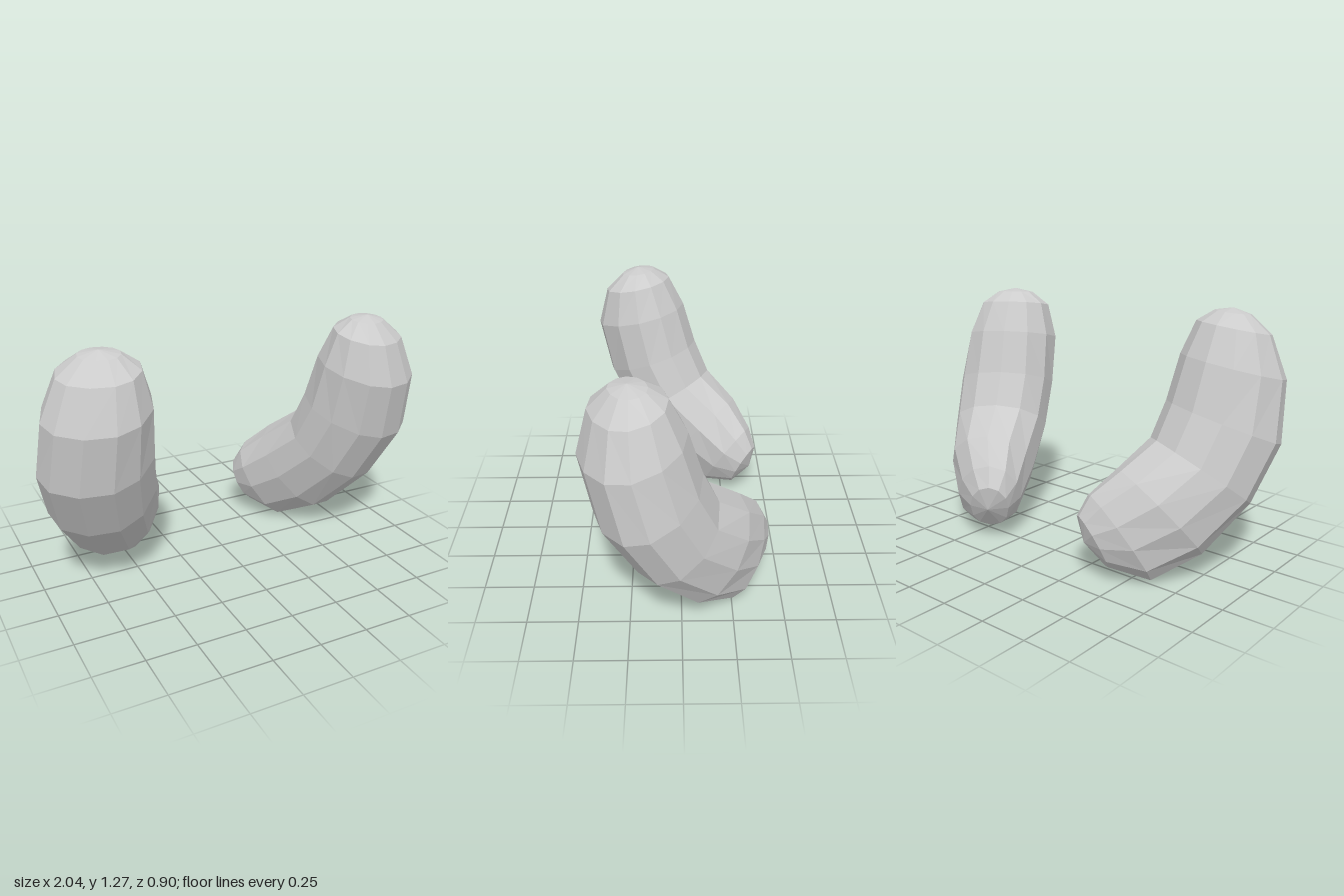
import * as THREE from 'three';

const SIDES = 12;

// Each pod bends in a vertical plane: U runs along the bend, W across it (x, z parts).
const U = [0.5, 0.866];
const W = [0.866, -0.5];

// Rings from top to bottom: outer bend [u, y], inner bend [u, y],
// sideways offset at the outer and inner bend, half width.
const RINGS = [
  { out: [0.63, 1.245], inn: [0.47, 1.263], w: [0.505, 0.505], half: 0.10 },
  { out: [0.72, 1.15], inn: [0.39, 1.215], w: [0.515, 0.505], half: 0.195 },
  { out: [0.785, 0.94], inn: [0.31, 1.06], w: [0.54, 0.515], half: 0.255 },
  { out: [0.74, 0.64], inn: [0.24, 0.84], w: [0.59, 0.52], half: 0.272 },
  { out: [0.58, 0.36], inn: [0.16, 0.67], w: [0.6, 0.53], half: 0.265 },
  { out: [0.345, 0.12], inn: [-0.02, 0.54], w: [0.59, 0.53], half: 0.235 },
  { out: [0.1, 0], inn: [-0.155, 0.42], w: [0.57, 0.485], half: 0.175 },
  { out: [-0.09, 0.065], inn: [-0.21, 0.32], w: [0.51, 0.475], half: 0.105 },
];
const TOP = [0.555, 1.275, 0.505];
const BOTTOM = [-0.19, 0.19, 0.49];

function podGeometry(side) {
  const positions = [];
  const index = [];
  const add = (u, y, w) =>
    positions.push(side * (u * U[0] + w * W[0]), y, u * U[1] + w * W[1]);
  // The mirrored pod needs its corners in reverse order
  const face = (a, b, c) => (side > 0 ? index.push(a, b, c) : index.push(a, c, b));

  for (const { out, inn, w, half } of RINGS) {
    for (let j = 0; j < SIDES; j++) {
      const a = (j / SIDES) * Math.PI * 2;
      // The outer half of each ring is squarer than the inner half
      const power = Math.cos(a) > 0 ? 0.88 : 1;
      const bulge = (v) => Math.sign(v) * Math.abs(v) ** power;
      const t = (1 - bulge(Math.cos(a))) / 2;
      add(
        THREE.MathUtils.lerp(out[0], inn[0], t),
        THREE.MathUtils.lerp(out[1], inn[1], t),
        THREE.MathUtils.lerp(w[0], w[1], t) + half * bulge(Math.sin(a))
      );
    }
  }
  const top = RINGS.length * SIDES;
  const bottom = top + 1;
  add(...TOP);
  add(...BOTTOM);

  const last = (RINGS.length - 1) * SIDES;
  for (let j = 0; j < SIDES; j++) {
    const k = (j + 1) % SIDES;
    face(top, j, k);
    for (let r = 0; r < last; r += SIDES) {
      face(r + j, r + SIDES + j, r + SIDES + k);
      face(r + j, r + SIDES + k, r + k);
    }
    face(last + j, bottom, last + k);
  }

  const geometry = new THREE.BufferGeometry();
  geometry.setAttribute('position', new THREE.Float32BufferAttribute(positions, 3));
  geometry.setIndex(index);
  geometry.computeVertexNormals();
  return geometry;
}

export function createModel() {
  const group = new THREE.Group();
  group.name = 'curvedPodPair';
  const material = new THREE.MeshStandardMaterial({ color: 0xcccccc, flatShading: true });

  // Mirrored pair of curved pods
  for (const [name, side] of [['leftPod', 1], ['rightPod', -1]]) {
    const pod = new THREE.Mesh(podGeometry(side), material);
    pod.name = name;
    group.add(pod);
  }
  return group;
}
